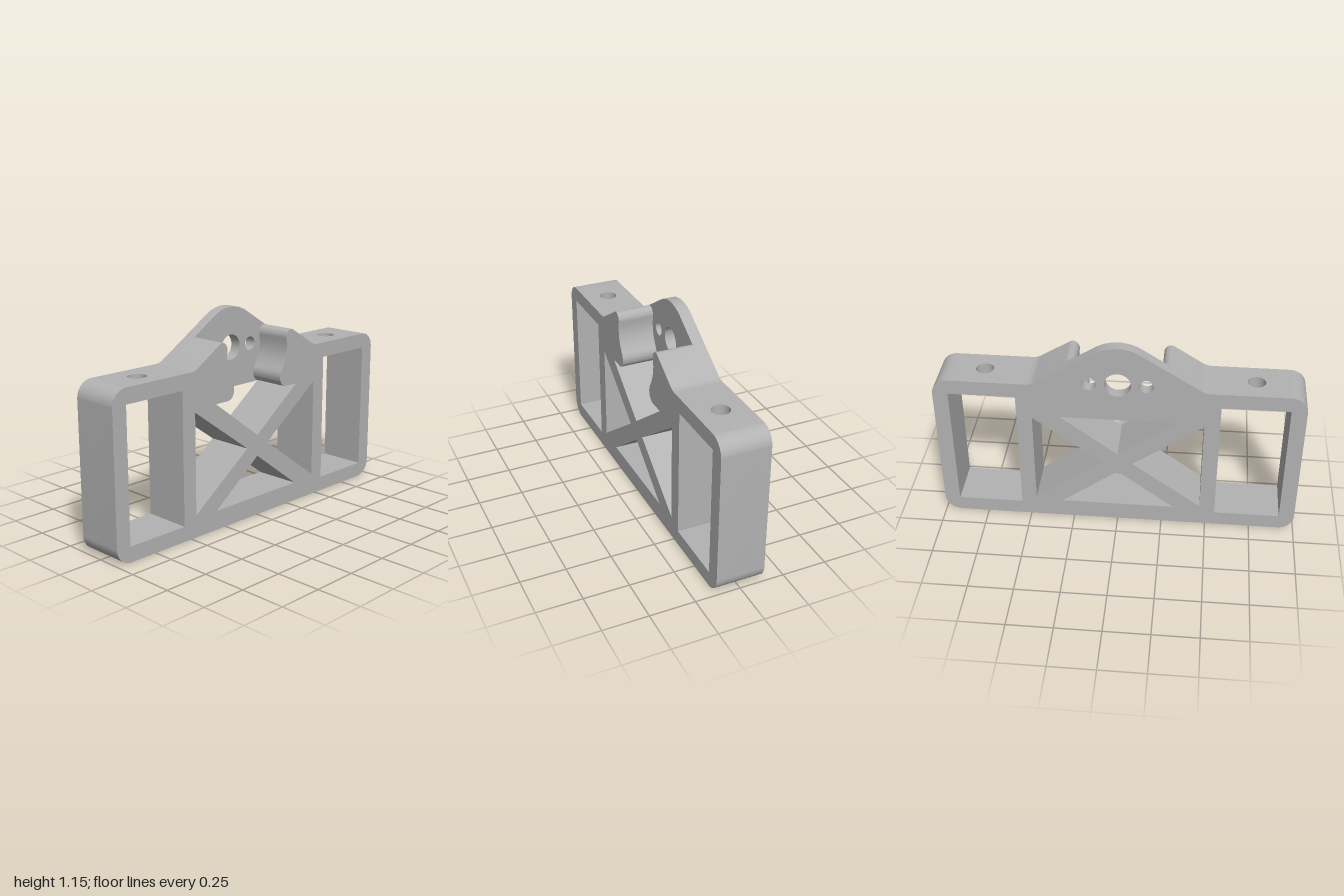
import * as THREE from 'three';
import { toCreasedNormals } from 'three/addons/utils/BufferGeometryUtils.js';

const BACK = -0.135, STEP = -0.07, FRONT = 0.135;
const WIN = { x0: 0.55, x1: 0.915, y0: 0.085, y1: 0.815 }; // side windows
const PAD = { x0: 0.61, x1: 0.85 };                        // drilled rail sections
const TOP = 0.9;

const vec = (x, y) => new THREE.Vector2(x, y);

// Right half of the outer outline, from the bottom middle to the start of the slope.
// It runs around the side window through the gap left for the drilled pad.
function startHalf() {
  const r = 0.09, p = new THREE.Path();
  p.moveTo(0, 0);
  p.lineTo(1 - r, 0);
  p.absarc(1 - r, r, r, -Math.PI / 2, 0, false);
  p.lineTo(1, TOP - r);
  p.absarc(1 - r, TOP - r, r, 0, Math.PI / 2, false);
  p.lineTo(PAD.x1, TOP);
  p.lineTo(PAD.x1, WIN.y1);
  p.lineTo(WIN.x1, WIN.y1);
  p.lineTo(WIN.x1, WIN.y0);
  p.lineTo(WIN.x0, WIN.y0);
  p.lineTo(WIN.x0, WIN.y1);
  p.lineTo(PAD.x0, WIN.y1);
  p.lineTo(PAD.x0, TOP);
  p.lineTo(0.49, TOP);
  p.quadraticCurveTo(0.463, TOP, 0.442, 0.914);
  return p;
}

// Mirror a half outline that starts and ends on x = 0
function mirroredShape(path) {
  const half = path.getPoints(14).filter((q, i, a) => i === 0 || q.distanceTo(a[i - 1]) > 1e-5);
  const other = half.slice(1, -1).reverse().map(q => vec(-q.x, q.y));
  return new THREE.Shape([...half, ...other]);
}

function circle(x, y, r) {
  const pts = [];
  for (let i = 0; i < 40; i++) {
    const a = i / 40 * Math.PI * 2;
    pts.push(vec(x + r * Math.cos(a), y + r * Math.sin(a)));
  }
  return new THREE.Path(pts);
}

const polygon = (...pts) => new THREE.Path(pts.map(([x, y]) => vec(x, y)));

// Openings between the cross braces that both layers share
function braceOpenings() {
  return [
    polygon([-0.315, 0.108], [0.315, 0.108], [0, 0.345]),
    ...[-1, 1].map(s => polygon([s * 0.465, 0.125], [s * 0.465, 0.685], [s * 0.08, 0.405])),
  ];
}

function extrude(shape, depth) {
  const g = new THREE.ExtrudeGeometry(shape, { depth, bevelEnabled: false });
  return toCreasedNormals(g, 0.5);
}

export function createModel() {
  const model = new THREE.Group();
  model.name = 'mountingBracket';
  const grey = new THREE.MeshStandardMaterial({ color: 0xb2b2b2 });
  grey.name = 'grey';

  const add = (name, geometry) => {
    const mesh = new THREE.Mesh(geometry, grey);
    mesh.name = name;
    model.add(mesh);
    return mesh;
  };

  // Back layer with the rounded peak and its three holes
  const backHalf = startHalf();
  const R = 0.225, slope = Math.atan(0.625);
  backHalf.absarc(0, 1.15 - R, R, Math.PI / 2 - slope, Math.PI / 2, false);
  const backShape = mirroredShape(backHalf);
  backShape.holes.push(
    ...braceOpenings(),
    polygon([-0.315, 0.7], [0, 0.465], [0.315, 0.7]),
    circle(0, 0.925, 0.071), circle(-0.152, 0.925, 0.038), circle(0.152, 0.925, 0.038));
  add('backFrame', extrude(backShape, STEP - BACK)).position.z = BACK;

  // Front layer, open between two curved cheeks down to the upper brace opening
  const frontHalf = startHalf();
  frontHalf.lineTo(0.282, 1.014);
  frontHalf.bezierCurveTo(0.258, 1.028, 0.226, 1.005, 0.23, 0.97);
  frontHalf.bezierCurveTo(0.24, 0.9, 0.23, 0.85, 0.19, 0.79);
  frontHalf.bezierCurveTo(0.168, 0.755, 0.185, 0.705, 0.225, 0.7);
  frontHalf.lineTo(0.315, 0.7);
  frontHalf.lineTo(0, 0.465);
  const frontShape = mirroredShape(frontHalf);
  frontShape.holes.push(...braceOpenings());
  add('frontFrame', extrude(frontShape, FRONT - STEP)).position.z = STEP;

  // Top rail sections with a vertical bolt hole
  for (const s of [-1, 1]) {
    const a = s * PAD.x0, b = s * PAD.x1;
    const pad = new THREE.Shape([vec(a, BACK), vec(b, BACK), vec(b, FRONT), vec(a, FRONT)]);
    pad.holes.push(circle(s * 0.73, 0, 0.049));
    const g = extrude(pad, TOP - WIN.y1);
    g.rotateX(-Math.PI / 2);
    add(s > 0 ? 'leftBoltPad' : 'rightBoltPad', g).position.y = WIN.y1;
  }
  return model;
}
